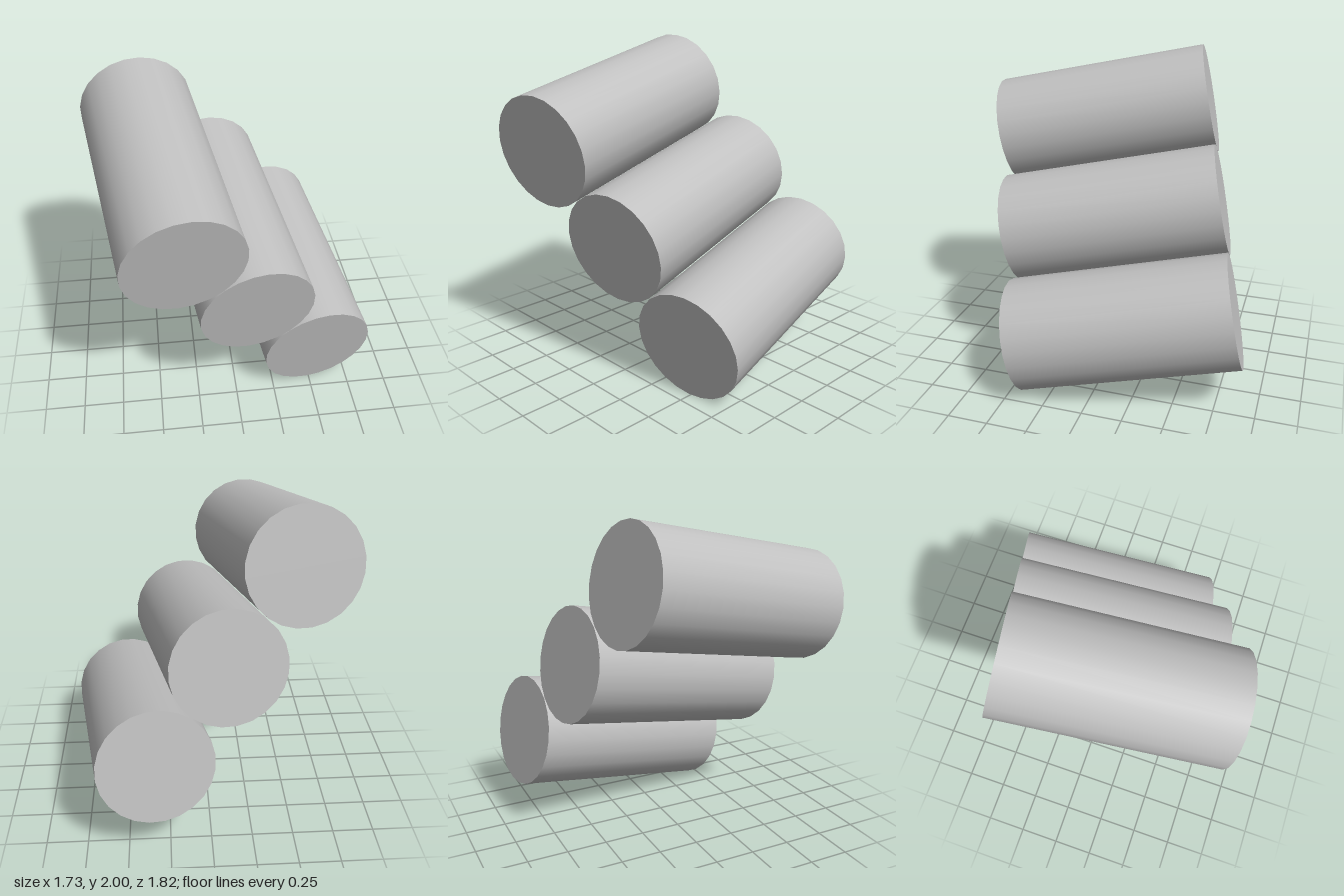
import * as THREE from 'three';

// Three equal round bars lying side by side, the whole row tilted in space.
export function createModel() {
  const model = new THREE.Group();
  model.name = 'cylinderRow';

  const grey = new THREE.MeshStandardMaterial({ color: 0xc0c0c0 });
  grey.name = 'plain grey';

  const axis = new THREE.Vector3(0.203, -0.263, 1.303); // back cap to front cap
  const step = new THREE.Vector3(0.424, -0.528, -0.174); // one bar to the next
  const radius = 0.347;

  const geometry = new THREE.CylinderGeometry(radius, radius, axis.length(), 24);

  // Orient local y along the bars and local x across the row
  const yDir = axis.clone().normalize();
  const zDir = step.clone().cross(yDir).normalize();
  const xDir = yDir.clone().cross(zDir);
  const tilt = new THREE.Matrix4().makeBasis(xDir, yDir, zDir);

  ['upperCylinder', 'middleCylinder', 'lowerCylinder'].forEach((name, i) => {
    const bar = new THREE.Mesh(geometry, grey);
    bar.name = name;
    bar.quaternion.setFromRotationMatrix(tilt);
    bar.position.set(0, 1, 0).addScaledVector(step, i - 1);
    model.add(bar);
  });

  return model;
}
